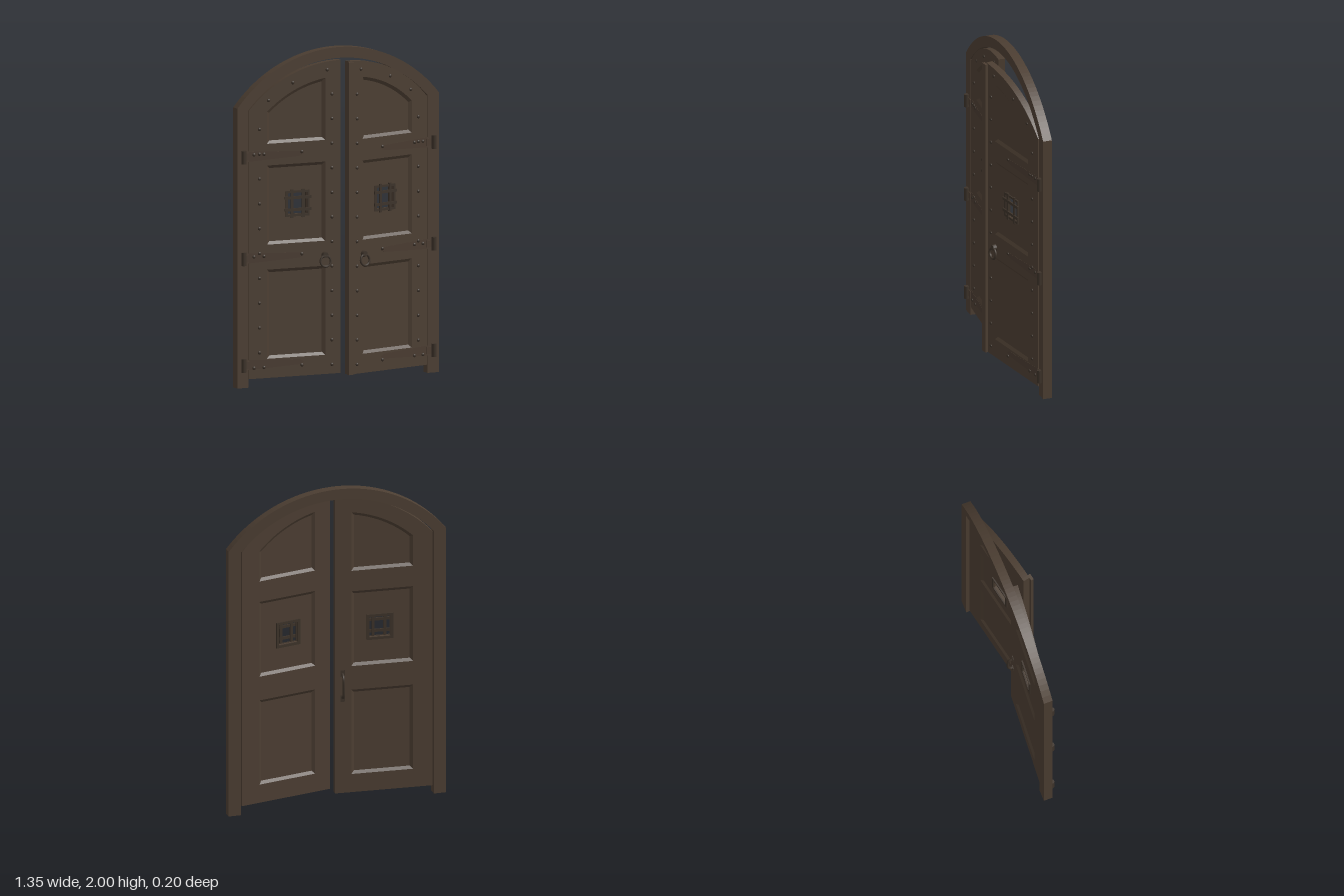
import * as THREE from 'three';

const wood = new THREE.MeshStandardMaterial({ color: 0x4c3e32 });
wood.name = 'wood';
const iron = new THREE.MeshStandardMaterial({ color: 0x3c3229 });
iron.name = 'iron';
const strapIron = new THREE.MeshStandardMaterial({ color: 0x493b30 });
strapIron.name = 'strap iron';

const ARCH_Y = 1.128;          // centre height of all the arches
const PIVOT = 0.638;           // hinge line, measured from the centre
const FRONT = -0.016, BACK = -0.058;
const RECESS = 0.012, BEVEL = 0.018;
const WIN_X = 0.28, WIN_Y = 1.085;

function add(parent, name, geometry, material, x = 0, y = 0, z = 0) {
  const mesh = new THREE.Mesh(geometry, material);
  mesh.name = name;
  mesh.position.set(x, y, z);
  parent.add(mesh);
  return mesh;
}

const box = (w, h, d) => new THREE.BoxGeometry(w, h, d);
const archHeight = (r, x) => ARCH_Y + Math.sqrt(r * r - x * x);

// Outline from x0 to x1 standing on y0, with a flat top or an arch of radius r
function outline(s, x0, x1, y0, { top, r }, inset = 0, steps = 20) {
  const a = x0 + inset, b = x1 - inset, bottom = y0 + inset;
  const pts = [[a, bottom], [b, bottom]];
  if (r) {
    for (let i = 0; i <= steps; i++) {
      const x = b + (a - b) * i / steps;
      pts.push([x, archHeight(r - inset, x)]);
    }
  } else pts.push([b, top - inset], [a, top - inset]);
  const out = pts.map(([x, y]) => new THREE.Vector2(s * x, y));
  return s < 0 ? out.reverse() : out;
}

function extrude(pts, depth, holes = []) {
  const shape = new THREE.Shape(pts);
  for (const h of holes) shape.holes.push(new THREE.Path(h));
  return new THREE.ExtrudeGeometry(shape, { depth, bevelEnabled: false });
}

// Sloped band between two matching outlines at different depths
function band(outer, inner, zOuter, zInner, flip) {
  const pos = [];
  outer.forEach((p, i) => {
    const j = (i + 1) % outer.length;
    const A = [p.x, p.y, zOuter], B = [outer[j].x, outer[j].y, zOuter];
    const C = [inner[j].x, inner[j].y, zInner], D = [inner[i].x, inner[i].y, zInner];
    const tris = flip ? [A, C, B, A, D, C] : [A, B, C, A, C, D];
    for (const v of tris) pos.push(...v);
  });
  const g = new THREE.BufferGeometry();
  g.setAttribute('position', new THREE.Float32BufferAttribute(pos, 3));
  g.computeVertexNormals();
  return g;
}

function square(s, half) {
  return outline(s, WIN_X - half, WIN_X + half, WIN_Y - half, { top: WIN_Y + half });
}

function buildFrame() {
  const pts = [[-0.675, 0], [-0.6, 0]];
  const N = 48;
  for (let i = 0; i <= N; i++) {
    const x = -0.6 + 1.2 * i / N;
    pts.push([x, archHeight(0.807, x)]);
  }
  pts.push([0.6, 0], [0.675, 0]);
  for (let i = 0; i <= N; i++) {
    const x = 0.675 - 1.35 * i / N;
    pts.push([x, archHeight(0.872, x)]);
  }
  return extrude(pts.map(p => new THREE.Vector2(...p)), 0.055);
}

// Barred opening in the middle panel
function buildGrille(door, s) {
  const g = new THREE.Group();
  g.name = 'windowGrille';
  door.add(g);
  const zf = FRONT - RECESS, zb = BACK + RECESS;
  add(g, 'frontSurround', extrude(square(s, 0.077), 0.008, [square(s, 0.064)]), iron, 0, 0, zf);
  add(g, 'backSurround', extrude(square(s, 0.08), 0.008, [square(s, 0.064)]), iron, 0, 0, zb - 0.008);
  for (const o of [-0.036, 0.036]) {
    add(g, 'verticalBar', box(0.017, 0.17, 0.01), iron, s * WIN_X + o, WIN_Y, zf + 0.007);
    add(g, 'crossBar', box(0.17, 0.017, 0.01), iron, s * WIN_X, WIN_Y + o, zf + 0.01);
  }
}

// Rounded nail heads along both stiles, the arch and the straps
function buildStuds(door, s) {
  const spots = [];
  for (let i = 0; i < 12; i++) spots.push([0.06, 0.106 + i * 0.1475]);
  for (let i = 0; i < 10; i++) spots.push([0.53, 0.205 + i * 0.149]);
  for (const deg of [6.9, 24.6, 38.7]) {
    const a = THREE.MathUtils.degToRad(deg);
    spots.push([0.753 * Math.sin(a), ARCH_Y + 0.753 * Math.cos(a)]);
  }
  for (const y of [0.115, 0.782, 1.395]) for (const x of [0.255, 0.5, 0.565]) spots.push([x, y]);
  const geo = new THREE.SphereGeometry(0.011, 10, 4, 0, Math.PI * 2, 0, Math.PI / 2);
  geo.rotateX(Math.PI / 2).scale(1, 1, 0.7);
  for (const [x, y] of spots) add(door, 'stud', geo, iron, s * x, y, FRONT + 0.0008);
}

function buildHinges(door, s) {
  for (const y of [0.135, 0.775, 1.385]) {
    const g = new THREE.Group();
    g.name = 'hinge';
    g.position.y = y;
    door.add(g);
    const pts = [[0.6, -0.03], [0.6, 0.03], [0.27, 0.015], [0.24, 0], [0.27, -0.015]];
    add(g, 'strap', extrude(pts.map(([x, v]) => new THREE.Vector2(s * x, v)), 0.004), strapIron, 0, 0, FRONT - 0.003);
    add(g, 'knuckleLeaf', box(0.045, 0.042, 0.008), strapIron, s * 0.614, 0, FRONT + 0.003);
    add(g, 'barrel', new THREE.CylinderGeometry(0.015, 0.015, 0.08, 12), iron, s * PIVOT);
  }
}

function buildRing(door, s) {
  const g = new THREE.Group();
  g.name = 'ringHandle';
  g.position.set(s * 0.108, 0.73, FRONT);
  door.add(g);
  const boss = new THREE.CylinderGeometry(0.017, 0.02, 0.022, 12).rotateX(Math.PI / 2);
  add(g, 'boss', boss, iron, 0, 0.036, 0.01);
  const ring = add(g, 'ring', new THREE.TorusGeometry(0.033, 0.007, 8, 24), iron, 0, 0, 0.018);
  ring.rotation.x = -0.1;
}

// Bowed pull on the inner face
function buildPull(door, s) {
  const g = new THREE.Group();
  g.name = 'backPull';
  g.position.set(s * 0.05, 0.73, BACK);
  door.add(g);
  const path = new THREE.CatmullRomCurve3(
    [[-0.075, 0], [-0.06, -0.025], [0, -0.034], [0.06, -0.025], [0.075, 0]]
      .map(([y, z]) => new THREE.Vector3(0, y, z)));
  add(g, 'grip', new THREE.TubeGeometry(path, 20, 0.008, 8), iron);
  for (const y of [-0.08, 0.08]) add(g, 'mount', box(0.026, 0.04, 0.006), iron, 0, y, -0.002);
}

function buildDoor(s, angle) {
  const hinge = new THREE.Group();
  hinge.name = s > 0 ? 'leftDoor' : 'rightDoor';
  hinge.position.set(s * PIVOT, 0, -0.035);
  hinge.rotation.y = s * THREE.MathUtils.degToRad(angle);
  const door = new THREE.Group();
  door.name = 'doorLeaf';
  door.position.x = -s * PIVOT;
  hinge.add(door);

  // Slab with three openings, each filled by a sunk panel with sloped edges
  const panels = [[0.165, { top: 0.7 }], [0.85, { top: 1.325 }], [1.455, { r: 0.707 }]];
  const edge = (p, inset) => outline(s, 0.103, 0.48, p[0], p[1], inset);
  add(door, 'slab', extrude(outline(s, 0.004, 0.597, 0.05, { r: 0.801 }, 0, 32), FRONT - BACK,
    panels.map(p => edge(p, 0))), wood, 0, 0, BACK);
  panels.forEach((p, i) => {
    const outer = edge(p, 0), inner = edge(p, BEVEL);
    add(door, 'frontBevel', band(outer, inner, FRONT, FRONT - RECESS, false), wood);
    add(door, 'backBevel', band(outer, inner, BACK, BACK + RECESS, true), wood);
    add(door, 'panel', extrude(inner, FRONT - BACK - 2 * RECESS, i === 1 ? [square(s, 0.066)] : []),
      wood, 0, 0, BACK + RECESS);
  });

  buildGrille(door, s);
  buildStuds(door, s);
  buildHinges(door, s);
  buildRing(door, s);
  return { hinge, door };
}

export function createModel() {
  const model = new THREE.Group();
  model.name = 'archedDoubleDoor';
  add(model, 'frame', buildFrame(), wood, 0, 0, -0.1);

  const left = buildDoor(1, 11.5);
  // Cover strip over the meeting edge
  add(left.door, 'meetingStrip', box(0.04, 1.875, 0.018), wood, 0.005, 0.9875, FRONT + 0.008);
  const right = buildDoor(-1, 4);
  buildPull(right.door, -1);
  model.add(left.hinge, right.hinge);
  return model;
}
